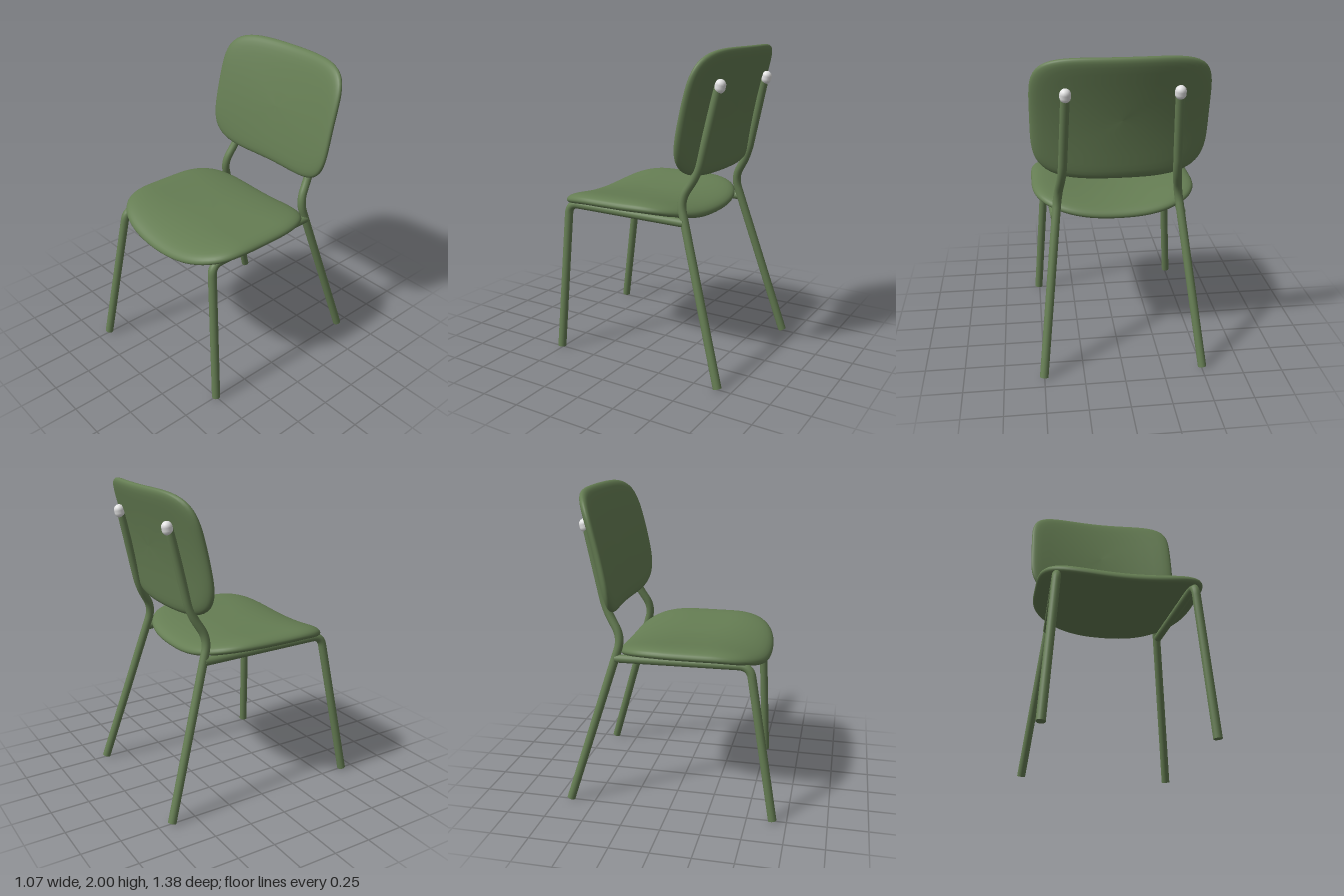
import * as THREE from 'three';

const TUBE_R = 0.027;
const V = (x, y, z) => new THREE.Vector3(x, y, z);

// Rounded-rectangle cushion: half sizes a, b, corner exponents for the +v and -v halves.
// place(u, v, h) bends the flat pad; h runs from +1 (face) to -1 (back).
function padGeometry(a, b, nPlus, nMinus, place) {
  const rs = [0, 0.2, 0.4, 0.6, 0.75, 0.85, 0.91, 0.945, 0.97, 0.985, 0.996];
  const edge = r => Math.sqrt(1 - r ** 14);
  const profile = [
    ...rs.map(r => [r, edge(r)]),
    [1, 0],
    ...rs.slice().reverse().map(r => [r, -edge(r)]),
  ];
  const seg = 112, pos = [], idx = [];
  for (const [r, h] of profile) {
    for (let j = 0; j < seg; j++) {
      const t = (j / seg) * Math.PI * 2, c = Math.cos(t), s = Math.sin(t);
      const n = s > 0 ? nPlus : nMinus;
      const k = r / (Math.abs(c) ** n + Math.abs(s) ** n) ** (1 / n);
      pos.push(...place(a * c * k, b * s * k, h));
    }
  }
  for (let i = 0; i < profile.length - 1; i++) {
    for (let j = 0; j < seg; j++) {
      const j2 = (j + 1) % seg;
      const p = i * seg + j, q = (i + 1) * seg + j, r = (i + 1) * seg + j2, s = i * seg + j2;
      idx.push(p, q, r, p, r, s);
    }
  }
  const g = new THREE.BufferGeometry();
  g.setAttribute('position', new THREE.Float32BufferAttribute(pos, 3));
  g.setIndex(idx);
  g.computeVertexNormals();
  return g;
}

// Straight runs joined by rounded bends
function bentPath(points, bend) {
  const path = new THREE.CurvePath();
  let from = points[0];
  for (let i = 1; i < points.length - 1; i++) {
    const p = points[i];
    const towards = q => {
      const d = q.clone().sub(p), len = d.length();
      return p.clone().addScaledVector(d, Math.min(bend, len * 0.48) / len);
    };
    const start = towards(points[i - 1]), end = towards(points[i + 1]);
    path.add(new THREE.LineCurve3(from, start));
    path.add(new THREE.QuadraticBezierCurve3(start, p, end));
    from = end;
  }
  path.add(new THREE.LineCurve3(from, points[points.length - 1]));
  return path;
}

// Bent tube with flat discs closing both ends
function tube(name, points, bend, material) {
  const group = new THREE.Group();
  group.name = name;
  const path = bentPath(points, bend);
  const body = new THREE.Mesh(new THREE.TubeGeometry(path, 120, TUBE_R, 16), material);
  body.name = name + 'Tube';
  group.add(body);
  for (const t of [0, 1]) {
    const end = new THREE.Mesh(new THREE.CircleGeometry(TUBE_R, 16), material);
    const out = path.getTangent(t).multiplyScalar(t ? 1 : -1);
    end.name = name + 'End';
    end.position.copy(path.getPoint(t));
    end.quaternion.setFromUnitVectors(V(0, 0, 1), out);
    group.add(end);
  }
  return group;
}

export function createModel() {
  const model = new THREE.Group();
  model.name = 'chair';
  const green = new THREE.MeshStandardMaterial({ color: 0x657d53 });
  green.name = 'sageGreen';
  const white = new THREE.MeshStandardMaterial({ color: 0xe4e4e4 });
  white.name = 'whitePlastic';

  // Seat: dished across with rolled sides, bowed front lip, dropping at front and back
  const seat = new THREE.Mesh(padGeometry(0.53, 0.48, 3.2, 4.5, (u, v, h) => {
    const w = (u / 0.53) ** 2;
    const z = 0.095 - v - 0.065 * w * Math.max(0, -v / 0.48);
    const front = Math.max(0, (z - 0.25) / 0.325), back = Math.max(0, (-z - 0.05) / 0.335);
    const y = 1.008 + 0.07 * w - 0.035 * w ** 3 - 0.063 * front ** 2 - 0.045 * back ** 2;
    return [u, y + 0.037 * h, z];
  }), green);
  seat.name = 'seat';
  model.add(seat);

  // Backrest: leaning back, sides wrapping forward
  const backrest = new THREE.Mesh(padGeometry(0.528, 0.383, 5, 4, (u, v, h) => {
    const t = (v + 0.383) / 0.766;
    const z = -0.42 - 0.08 * t - 0.09 * t * t + 0.075 * (u / 0.53) ** 2;
    return [u, 1.617 + v, z + 0.036 * h];
  }), green);
  backrest.name = 'backrest';
  model.add(backrest);

  for (const s of [-1, 1]) {
    const side = s > 0 ? 'left' : 'right';

    // Rear leg rising into the backrest support
    model.add(tube(side + 'RearLegAndBackSupport', [
      V(s * 0.503, 0.012, -0.661), V(s * 0.375, 1.1, -0.327),
      V(s * 0.347, 1.27, -0.43), V(s * 0.325, 1.78, -0.545),
    ], 0.08, green));

    // Front leg bending into the seat rail; the right foot is splayed further forward
    model.add(tube(side + 'FrontLegAndSeatRail', [
      V(s * 0.506, 0.012, s > 0 ? 0.505 : 0.662),
      V(s * 0.43, 0.99, s > 0 ? 0.465 : 0.49),
      V(s * 0.395, 0.968, -0.365),
    ], 0.07, green));

    // White end cap on the support
    const cap = new THREE.Mesh(new THREE.CapsuleGeometry(0.033, 0.018, 6, 16), white);
    cap.name = side + 'SupportCap';
    cap.position.set(s * 0.325, 1.785, -0.556);
    cap.rotation.x = -0.22;
    model.add(cap);
  }
  return model;
}
